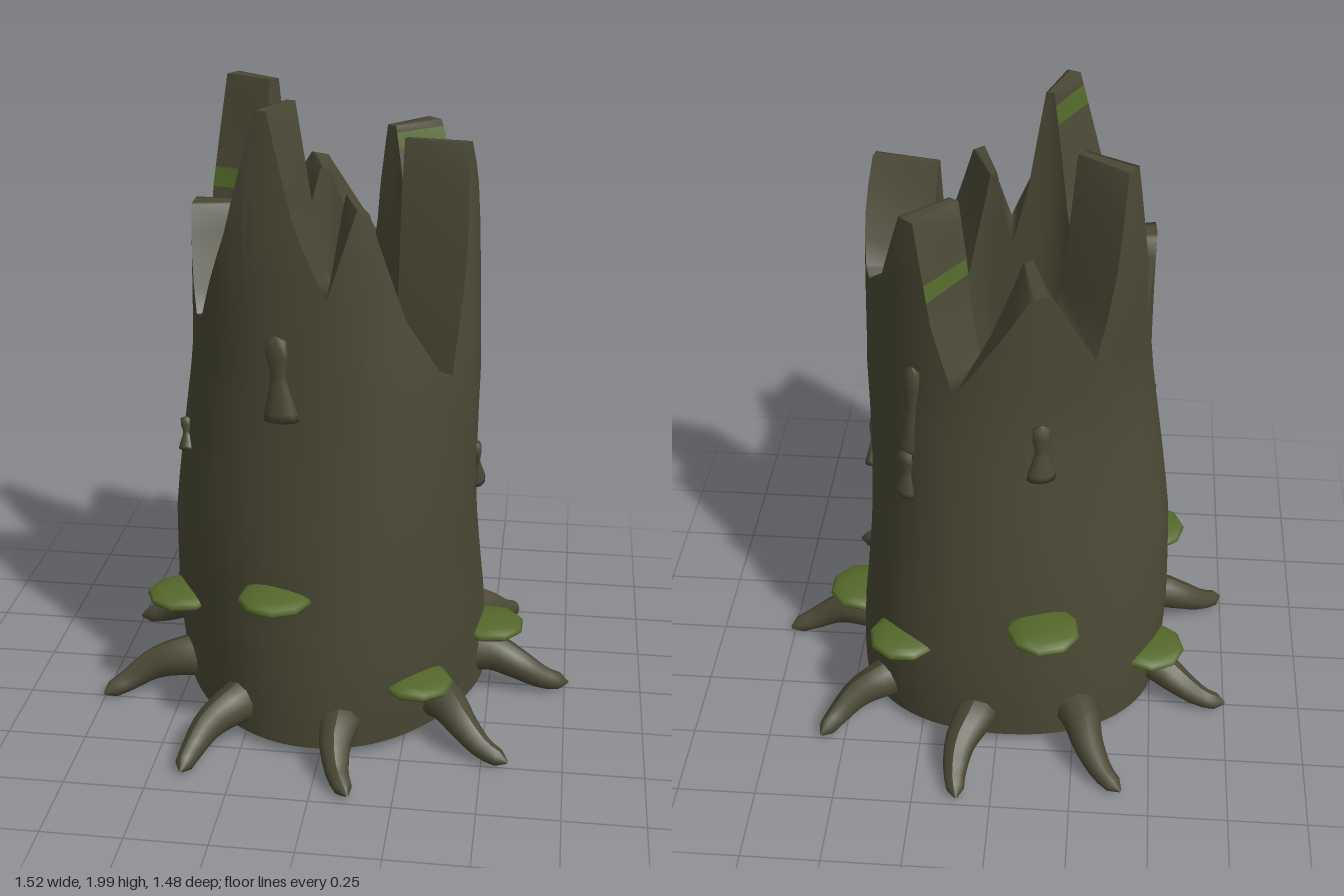
import * as THREE from 'three';

const bark = new THREE.MeshStandardMaterial({ color: 0x4b4935 });
const moss = new THREE.MeshStandardMaterial({ color: 0x54682a });
bark.name = 'bark';
moss.name = 'moss';

const RAD = Math.PI / 180;

// Splintered rim: [angle in degrees from +x towards +z, height]
const RIM = [
  [8, 1.86], [12, 1.86], [24, 1.5], [36, 1.21], [41, 1.22], [55, 1.4], [68, 1.72], [73, 1.73], [86, 1.47],
  [97, 1.68], [109, 2], [115, 2], [127, 1.64], [145, 1.36], [151, 1.35], [167, 1.65], [180, 1.65],
  [193, 1.42], [208, 1.99], [216, 1.99], [232, 1.44], [253, 1.7], [260, 1.69], [287, 1.35], [299, 1.55],
  [310, 1.85], [318, 1.85], [329, 1.63], [343, 1.55], [349, 1.57], [368, 1.86],
];
// Moss bands across the splinter flanks: [angle where the rim segment starts, low, high]
const BANDS = [[318, 1.78, 1.83], [299, 1.62, 1.67], [193, 1.65, 1.71], [115, 1.9, 1.96]];

// Outer trunk radius and axis drift by height
const PROFILE = [[0, 0.49], [0.1, 0.5], [0.3, 0.503], [0.65, 0.485], [1, 0.457], [1.25, 0.44], [1.65, 0.432], [2, 0.4]];
const DRIFT_X = [[0, -0.02], [0.65, -0.025], [1.2, 0], [1.65, -0.02], [2, -0.02]];
const DRIFT_Z = [[0, 0], [0.5, 0.005], [1.25, 0.024], [2, 0.012]];

function lerpTable(table, v) {
  let i = 0;
  while (i < table.length - 2 && v > table[i + 1][0]) i++;
  const [a, fa] = table[i], [b, fb] = table[i + 1];
  return fa + (fb - fa) * (v - a) / (b - a);
}

// Three soft swellings twist around the trunk
function outerRadius(a, y) {
  const swell = 0.025 * Math.max(0.4, 1 - 0.3 * y);
  return lerpTable(PROFILE, y) - swell * Math.cos(3 * a + 2.6 * (y - 0.65));
}
const innerRadius = (a, y) => 0.234 + 0.01 * Math.cos(5 * a + y) + 0.06 * Math.max(0, 1 - y / 0.5);
const onTrunk = (a, r, y) => new THREE.Vector3(
  r * Math.cos(a) + lerpTable(DRIFT_X, y), y, r * Math.sin(a) + lerpTable(DRIFT_Z, y));

// Angular samples around the rim, with extra cuts at the edges of the bands
function rimSamples() {
  const out = [];
  for (let i = 0; i < RIM.length - 1; i++) {
    const [a, ha] = RIM[i], [b, hb] = RIM[i + 1];
    const cuts = [0, 0.25, 0.5, 0.75];
    const bands = BANDS.filter((s) => s[0] === a);
    for (const [, lo, hi] of bands) cuts.push((lo - ha) / (hb - ha), (hi - ha) / (hb - ha));
    cuts.sort((p, q) => p - q);
    cuts.forEach((t, k) => {
      const mid = ha + (hb - ha) * (t + (cuts[k + 1] ?? 1)) / 2;
      out.push({
        a: (a + (b - a) * t) * RAD,
        h: ha + (hb - ha) * t,
        green: bands.some(([, lo, hi]) => mid > lo && mid < hi),
      });
    });
  }
  return out;
}

// Closed band of quads between successive rows of points
function loft(samples, rows, pointAt, keep = () => true) {
  const pos = [], idx = [], n = samples.length;
  for (let j = 0; j <= rows; j++) for (const s of samples) pos.push(...pointAt(s, j / rows).toArray());
  for (let j = 0; j < rows; j++) {
    for (let i = 0; i < n; i++) {
      if (!keep(samples[i])) continue;
      const a = j * n + i, b = j * n + (i + 1) % n;
      idx.push(a, b, b + n, a, b + n, a + n);
    }
  }
  const g = new THREE.BufferGeometry();
  g.setAttribute('position', new THREE.Float32BufferAttribute(pos, 3));
  g.setIndex(idx);
  g.computeVertexNormals();
  return g;
}

function add(parent, name, geometry, material) {
  const m = new THREE.Mesh(geometry, material);
  m.name = name;
  parent.add(m);
  return m;
}

// Curved root tapering to a point
function rootGeometry() {
  const path = new THREE.CatmullRomCurve3([
    new THREE.Vector3(0.4, 0.13, 0), new THREE.Vector3(0.52, 0.13, 0.005),
    new THREE.Vector3(0.61, 0.1, 0.025), new THREE.Vector3(0.7, 0.05, 0.02),
    new THREE.Vector3(0.78, 0.025, -0.005),
  ]);
  const rings = 12, sides = 10;
  const g = new THREE.TubeGeometry(path, rings, 1, sides);
  const p = g.attributes.position, v = new THREE.Vector3();
  for (let i = 0; i < p.count; i++) {
    const t = Math.floor(i / (sides + 1)) / rings;
    const c = path.getPointAt(t);
    const r = t === 1 ? 0.004 : 0.08 - 0.056 * t;
    v.fromBufferAttribute(p, i).sub(c).multiplyScalar(r).add(c);
    p.setXYZ(i, v.x, v.y, v.z);
  }
  g.computeVertexNormals();
  return g;
}

export function createModel() {
  const model = new THREE.Group();
  model.name = 'hollowStump';

  // Hollow trunk
  const trunk = new THREE.Group();
  trunk.name = 'trunk';
  model.add(trunk);
  const samples = rimSamples();
  const foot = 0.04, innerFoot = 0.06;
  add(trunk, 'outerBark', loft(samples, 16, (s, t) => {
    const y = s.h + (foot - s.h) * t;
    return onTrunk(s.a, outerRadius(s.a, y), y);
  }), bark);
  add(trunk, 'underside', loft(samples, 3, (s, t) => {
    const y = foot + (innerFoot - foot) * t * t;
    return onTrunk(s.a, THREE.MathUtils.lerp(outerRadius(s.a, foot), innerRadius(s.a, innerFoot), t), y);
  }), bark);
  add(trunk, 'innerWall', loft(samples, 10, (s, t) => {
    const y = innerFoot + (s.h - innerFoot) * t;
    return onTrunk(s.a, innerRadius(s.a, y), y);
  }), bark);
  const rimPoint = (s, t) => onTrunk(s.a, THREE.MathUtils.lerp(innerRadius(s.a, s.h), outerRadius(s.a, s.h), t), s.h);
  add(trunk, 'splinteredRim', loft(samples, 1, rimPoint, (s) => !s.green), bark);
  add(trunk, 'mossBands', loft(samples, 1, rimPoint, (s) => s.green), moss);

  // Nine roots; the two nearest the z axis are shorter
  const rootShape = rootGeometry();
  for (let i = 0; i < 9; i++) {
    const root = add(model, 'root', rootShape, bark);
    root.rotation.y = -i * 40 * RAD;
    root.position.x = -0.018;
    if (i === 2 || i === 7) root.scale.x = 0.96;
  }

  // Shelf fungi: [x, y, z]
  const shelfShape = new THREE.SphereGeometry(1, 9, 8);
  const shelves = [
    [-0.135, 0.54, 0.49], [-0.15, 0.54, -0.495], [-0.485, 0.385, 0.21], [0.3, 0.385, -0.39],
    [-0.49, 0.23, -0.22], [0.495, 0.23, 0], [0.29, 0.23, 0.395],
  ];
  for (const [x, y, z] of shelves) {
    const shelf = add(model, 'shelfFungus', shelfShape, moss);
    shelf.position.set(x, y, z);
    shelf.scale.set(0.115, 0.03, 0.115);
    shelf.rotation.y = -Math.atan2(z, x);
  }

  // Bark knots, pinched in the middle: [angle, bottom height, height, half width, lean]
  const knotShape = new THREE.LatheGeometry([
    [0, 0], [1, 0], [0.92, 0.1], [0.5, 0.42], [0.42, 0.55], [0.6, 0.75], [0.58, 0.95], [0, 1],
  ].map(([r, y]) => new THREE.Vector2(r, y)), 10);
  const knots = [
    [105, 1.1, 0.26, 0.058, 0.06], [309, 0.94, 0.16, 0.045, 0], [309, 1.08, 0.32, 0.045, -0.08],
    [254, 1.08, 0.19, 0.045, 0], [155, 0.9, 0.1, 0.03, 0.2], [1, 0.76, 0.16, 0.04, 0.4],
  ];
  for (const [deg, y, h, w, lean] of knots) {
    const a = deg * RAD;
    const knot = add(model, 'barkKnot', knotShape, bark);
    knot.position.copy(onTrunk(a, outerRadius(a, y + h / 2) + 0.003, y));
    knot.scale.set(0.03, h, w);
    knot.rotation.set(lean, -a, 0, 'YXZ');
  }

  return model;
}
